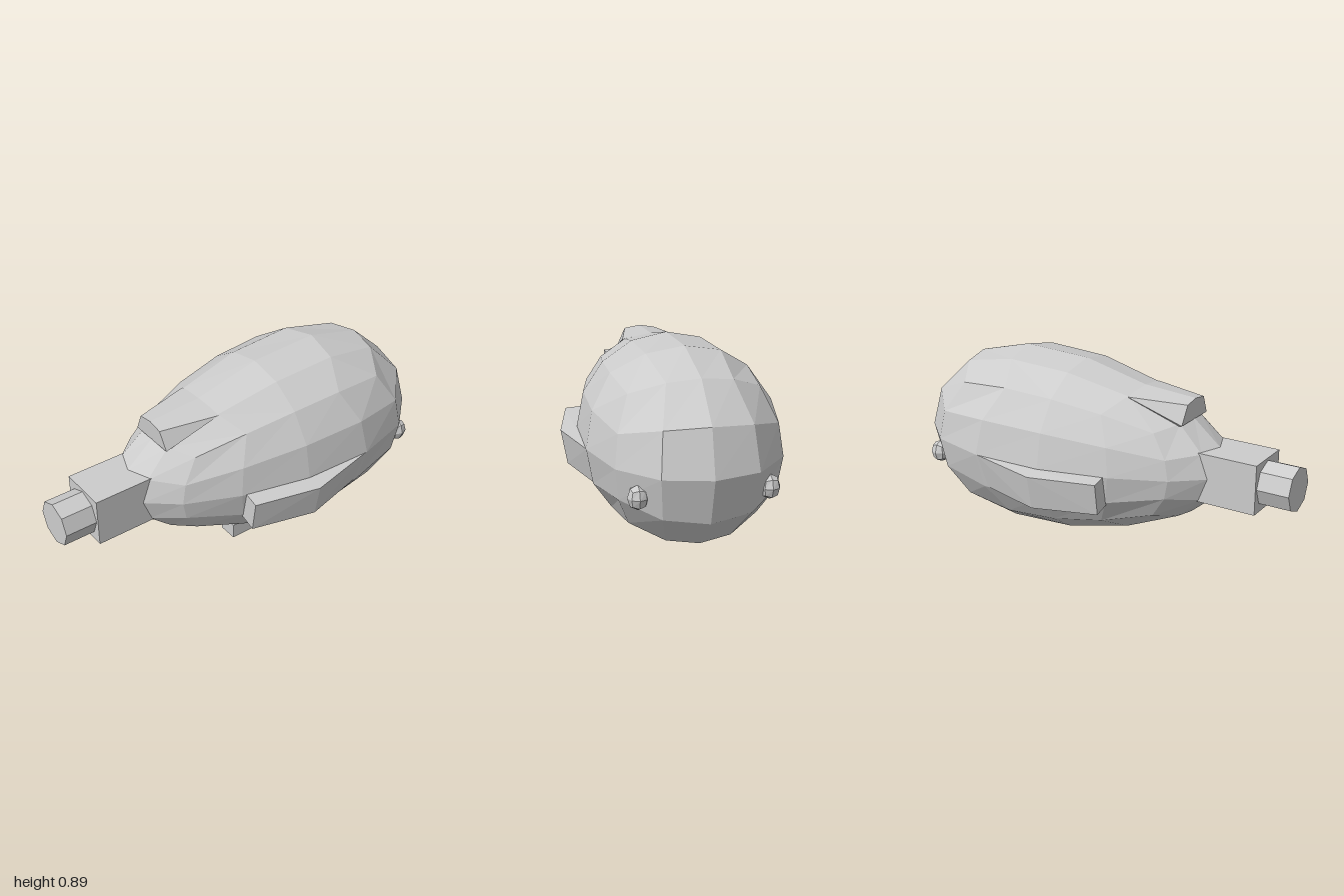
import * as THREE from 'three';
import { ConvexGeometry } from 'three/addons/geometries/ConvexGeometry.js';

const AXIS_Y = 0.448; // height of the body's long axis

// Cube grid rounded to a unit sphere with equal angles
function quadSphere(segments) {
  const geo = new THREE.BoxGeometry(2, 2, 2, segments, segments, segments);
  const p = geo.attributes.position;
  const v = new THREE.Vector3();
  const bend = (u) => Math.tan((u * Math.PI) / 4);
  for (let i = 0; i < p.count; i++) {
    v.fromBufferAttribute(p, i);
    v.set(bend(v.x), bend(v.y), bend(v.z)).normalize();
    p.setXYZ(i, v.x, v.y, v.z);
  }
  return geo;
}

// Convex solid from corner points
function hull(points) {
  return new ConvexGeometry(points.map((p) => new THREE.Vector3(...p)));
}

export function createModel() {
  const group = new THREE.Group();
  const grey = new THREE.MeshStandardMaterial({ color: 0xcccccc });
  grey.name = 'grey';
  grey.flatShading = true;

  const add = (name, geo, x = 0, y = 0, z = 0) => {
    geo.computeVertexNormals();
    const mesh = new THREE.Mesh(geo, grey);
    mesh.name = name;
    mesh.position.set(x, y, z);
    group.add(mesh);
    return mesh;
  };

  // Egg-shaped body, narrow at the front and wide at the back
  const bodyGeo = quadSphere(4);
  const p = bodyGeo.attributes.position;
  for (let i = 0; i < p.count; i++) {
    const c = p.getZ(i);
    const r = 0.432 - 0.135 * c;
    const z = -0.13 + 0.825 * c - 0.045 * c * c + 0.09 * c * (1 - c * c);
    p.setXYZ(i, p.getX(i) * r, p.getY(i) * r, z);
  }
  add('body', bodyGeo, 0, AXIS_Y, 0);

  // Square neck and octagonal nozzle
  add('neck', new THREE.BoxGeometry(0.24, 0.24, 0.345), 0, AXIS_Y, 0.6725);
  const nozzle = new THREE.CylinderGeometry(0.108, 0.108, 0.165, 8);
  nozzle.rotateX(Math.PI / 2);
  add('nozzle', nozzle, 0, AXIS_Y, 0.9175);

  // Raised hood on top, fading into the body toward the back
  add('hood', hull([
    [-0.12, 0.68, 0.465], [0.12, 0.68, 0.465],
    [-0.077, 0.77, 0.47], [0.077, 0.77, 0.47], [0, 0.783, 0.47],
    [-0.145, 0.778, 0.19], [0.145, 0.778, 0.19], [0, 0.802, 0.19],
    [0, 0.6, 0.3],
  ]));

  for (const s of [1, -1]) {
    const side = s > 0 ? 'left' : 'right';

    // Side fin, thickest in the middle and tapering to the back
    add(side + 'Fin', hull([
      [0.437, 0.44, 0.197], [0.415, 0.285, 0.197],
      [0.34, 0.45, 0.185], [0.31, 0.3, 0.185],
      [0.51, 0.432, -0.13], [0.48, 0.265, -0.13],
      [0.38, 0.448, -0.13], [0.35, 0.29, -0.13],
      [0.445, 0.448, -0.48], [0.405, 0.28, -0.48],
    ].map(([x, y, z]) => [x * s, y, z])));

    // Small round knob at the rear
    const knob = quadSphere(2);
    knob.scale(0.047, 0.057, 0.05);
    add(side + 'Knob', knob, 0.29 * s, 0.342, -0.838);
  }

  // Small block peeking out of the underside
  add('undersideBlock', new THREE.BoxGeometry(0.095, 0.075, 0.28), 0.1975, 0.1425, 0.04);

  return group;
}
